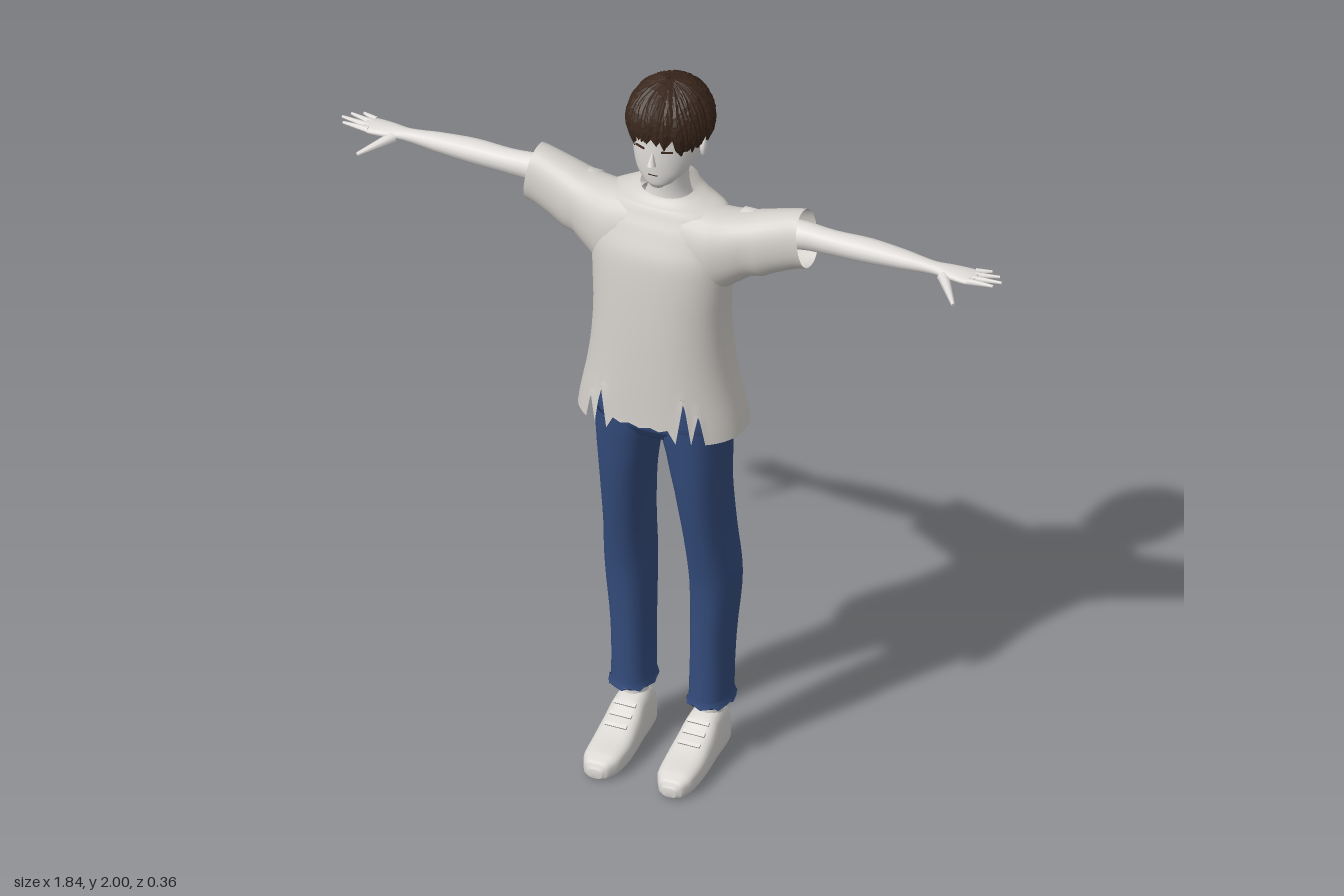
import * as THREE from 'three';
import { mergeGeometries } from 'three/addons/utils/BufferGeometryUtils.js';

const mat = (name, color, side = THREE.FrontSide) => {
  const m = new THREE.MeshStandardMaterial({ color, side });
  m.name = name;
  return m;
};

// Skin a list of rings (equal point counts); optionally close both ends.
function skin(rings, caps = false) {
  const n = rings[0].length, pos = [], idx = [];
  rings.forEach(r => r.forEach(p => pos.push(p.x, p.y, p.z)));
  for (let i = 0; i < rings.length - 1; i++) for (let j = 0; j < n; j++) {
    const a = i * n + j, b = i * n + (j + 1) % n;
    idx.push(a, b, b + n, a, b + n, a + n);
  }
  if (caps) [0, rings.length - 1].forEach((i, end) => {
    const c = new THREE.Vector3();
    rings[i].forEach(p => c.addScaledVector(p, 1 / n));
    const k = pos.length / 3;
    pos.push(c.x, c.y, c.z);
    for (let j = 0; j < n; j++) {
      const a = i * n + j, b = i * n + (j + 1) % n;
      if (end) idx.push(a, b, k); else idx.push(b, a, k);
    }
  });
  const g = new THREE.BufferGeometry();
  g.setAttribute('position', new THREE.Float32BufferAttribute(pos, 3));
  g.setIndex(idx);
  g.computeVertexNormals();
  return g;
}

// Smooth curve through b and c, with neighbours a and d
const spline = (a, b, c, d, t) => {
  const cubic = 3 * (b - c) + d - a, square = 2 * a - 5 * b + 4 * c - d;
  return b + 0.5 * t * (c - a + t * (square + t * cubic));
};

// Loft along an axis; each row is [station, u0, u1, v0, v1].
// Axis y: u = x, v = z.  Axis x: u = z, v = y.  Axis z: u = y, v = x.
function loft(axis, rows, { n = 24, power = 1, sub = 4, caps = false, tweak } = {}) {
  const fine = [], at = i => rows[Math.min(Math.max(i, 0), rows.length - 1)];
  for (let i = 0; i < rows.length - 1; i++) for (let k = 0; k < sub; k++) {
    const t = k / sub, [a, b, c, d] = [at(i - 1), at(i), at(i + 1), at(i + 2)];
    fine.push(b.map((v, q) => q === 0 ? v + (c[0] - v) * t : spline(a[q], v, c[q], d[q], t)));
  }
  fine.push(at(rows.length));
  const bend = v => Math.sign(v) * Math.abs(v) ** power;
  return skin(fine.map(([s, u0, u1, v0, v1]) => Array.from({ length: n }, (_, j) => {
    const t = j / n * Math.PI * 2;
    const u = (u0 + u1) / 2 + (u1 - u0) / 2 * bend(Math.cos(t));
    const v = (v0 + v1) / 2 - (v1 - v0) / 2 * bend(Math.sin(t));
    const p = axis === 'y' ? new THREE.Vector3(u, s, v)
      : axis === 'x' ? new THREE.Vector3(s, v, u) : new THREE.Vector3(v, u, s);
    if (tweak) tweak(p, j);
    return p;
  })), caps);
}

// Tapered rod between two points
function rod(a, b, r0, r1) {
  const p = new THREE.Vector3(...a), q = new THREE.Vector3(...b), d = q.clone().sub(p);
  const g = new THREE.CylinderGeometry(r1, r0, d.length(), 8);
  g.applyQuaternion(new THREE.Quaternion().setFromUnitVectors(new THREE.Vector3(0, 1, 0), d.normalize()));
  return g.translate(...p.add(q).multiplyScalar(0.5).toArray());
}

function mirrored(g) {
  const m = g.clone().scale(-1, 1, 1), ix = m.index.array;
  for (let i = 0; i < ix.length; i += 3) [ix[i], ix[i + 1]] = [ix[i + 1], ix[i]];
  m.computeVertexNormals();
  return m;
}

// Hair surface: phi runs around from the front, th down from the crown
const hairPoint = (phi, th, k) => new THREE.Vector3(
  0.107 * k * Math.sin(th) * Math.sin(phi), 1.885 + 0.113 * k * Math.cos(th),
  -0.053 + 0.121 * k * Math.sin(th) * Math.cos(phi));
function hairEnd(phi) {
  const a = Math.abs(Math.atan2(Math.sin(phi), Math.cos(phi)));
  const y = a < 0.65 ? 1.878 : a < 1.15 ? 1.84 : a < 1.75 ? 1.858 : 1.79;
  return Math.acos((y - 1.885) / 0.113);
}
function hairGeometry() {
  const parts = [], rings = [];
  let seed = 7;
  const rand = () => (seed = (seed * 16807) % 2147483647) / 2147483647;
  // scalp shell with a ragged edge
  for (let i = 0; i <= 10; i++) rings.push(Array.from({ length: 48 }, (_, j) => {
    const phi = -j / 48 * Math.PI * 2, end = hairEnd(phi) + (j % 2 ? 0.12 : -0.06);
    return hairPoint(phi, 0.01 + (end - 0.01) * i / 10, 0.98);
  }));
  parts.push(skin(rings));
  // overlapping pointed locks
  for (let i = 0; i < 110; i++) {
    const phi0 = i * 2.39996, twist = (rand() - 0.5) * 0.5, start = 0.05 + rand() * 0.8;
    const end = hairEnd(phi0 + twist) + 0.2 * rand() - (i % 3) * 0.2, w = 0.012 + rand() * 0.008;
    parts.push(skin(Array.from({ length: 7 }, (_, k) => {
      const t = k / 6, phi = phi0 + twist * t, taper = Math.sin(Math.PI * (0.12 + 0.86 * t)) ** 0.7;
      const c = hairPoint(phi, start + (end - start) * t, 0.985 + 0.025 * t);
      const s = new THREE.Vector3(Math.cos(phi), 0, -Math.sin(phi));
      const o = c.clone().sub(new THREE.Vector3(0, 1.885, -0.053)).normalize();
      return [[w, 0], [0, 0.007], [-w, 0], [0, -0.005]].map(([e, f]) =>
        c.clone().addScaledVector(s, e * taper).addScaledVector(o, f * taper));
    }), true));
  }
  const g = mergeGeometries(parts).toNonIndexed();
  g.computeVertexNormals();
  return g;
}

export function createModel() {
  const model = new THREE.Group();
  const skinMat = mat('pale skin', 0xdedbd8);
  const shirtMat = mat('off-white cotton', 0xd3cfca, THREE.DoubleSide);
  const denim = mat('blue denim', 0x344c7c, THREE.DoubleSide);
  const hairMat = mat('dark brown hair', 0x38261b, THREE.DoubleSide);
  const shoeMat = mat('white shoe', 0xd9d6d2);
  const add = (name, g, m) => {
    const mesh = new THREE.Mesh(g, m);
    mesh.name = name;
    model.add(mesh);
  };
  const pair = (name, g, m) => {
    add(name + 'Left', g, m);
    add(name + 'Right', mirrored(g), m);
  };

  // Head, neck and ears
  add('head', loft('y', [
    [1.728, -0.018, 0.018, 0.012, 0.042], [1.742, -0.04, 0.04, -0.015, 0.05],
    [1.77, -0.068, 0.068, -0.07, 0.054], [1.81, -0.084, 0.084, -0.115, 0.056],
    [1.86, -0.091, 0.091, -0.14, 0.055], [1.92, -0.088, 0.088, -0.14, 0.05],
    [1.965, -0.05, 0.05, -0.1, 0.0]], { n: 32, caps: true }), skinMat);
  add('neck', loft('y', [
    [1.62, -0.08, 0.08, -0.11, 0.02], [1.68, -0.056, 0.056, -0.1, 0.01],
    [1.73, -0.05, 0.05, -0.098, 0.012], [1.79, -0.053, 0.053, -0.1, 0.02]]), skinMat);
  add('nose', new THREE.ConeGeometry(0.012, 0.045, 8).scale(1, 1, 1.2)
    .rotateX(-0.2).translate(0, 1.825, 0.056), skinMat);
  pair('ear', new THREE.SphereGeometry(1, 12, 10).scale(0.01, 0.03, 0.018)
    .rotateY(0.3).translate(0.094, 1.825, -0.05), skinMat);

  // Thin face details
  pair('eyelash', new THREE.BoxGeometry(0.03, 0.004, 0.004)
    .rotateY(0.4).translate(0.038, 1.846, 0.049), hairMat);
  add('mouth', new THREE.BoxGeometry(0.026, 0.002, 0.004).translate(0, 1.772, 0.053), hairMat);
  add('hair', hairGeometry(), hairMat);

  // Shirt body: torn front hem, collar dipping towards the front
  add('shirtBody', loft('y', [
    [1.03, -0.225, 0.225, -0.165, 0.135], [1.2, -0.192, 0.192, -0.147, 0.13],
    [1.34, -0.18, 0.18, -0.135, 0.123], [1.46, -0.185, 0.185, -0.127, 0.113],
    [1.54, -0.19, 0.19, -0.125, 0.1], [1.61, -0.185, 0.185, -0.123, 0.068],
    [1.655, -0.16, 0.16, -0.12, 0.042], [1.675, -0.11, 0.11, -0.116, 0.026],
    [1.7, -0.075, 0.075, -0.11, 0.012]], {
    n: 64, power: 0.88,
    tweak: (p, j) => {
      const k = Math.abs(j - 48);
      const hem = k < 4 ? 1.06 + 0.008 * (k % 2) : k === 5 ? 1.16 : k === 7 ? 1.12 : 1.03;
      p.y = Math.max(p.y, hem);
      if (p.y > 1.66) p.y -= (p.z + 0.05) * 0.3 * (p.y - 1.66) / 0.04;
    }
  }), shirtMat);
  pair('sleeve', loft('x', [
    [0.07, -0.116, 0.07, 1.42, 1.672], [0.14, -0.118, 0.068, 1.42, 1.664],
    [0.19, -0.118, 0.052, 1.455, 1.662], [0.24, -0.116, 0.033, 1.49, 1.668],
    [0.31, -0.114, 0.016, 1.522, 1.684], [0.38, -0.112, 0.006, 1.545, 1.7]],
  { n: 32, power: 0.9, tweak: p => { if (p.x > 0.25) p.x -= (p.y - 1.62) * 0.15; } }), shirtMat);

  // Arms, palms and fingers
  pair('arm', loft('x', [
    [0.2, -0.1, 0, 1.57, 1.665], [0.37, -0.09, -0.015, 1.592, 1.668],
    [0.45, -0.087, -0.02, 1.597, 1.662], [0.55, -0.092, -0.02, 1.6, 1.662],
    [0.65, -0.085, -0.027, 1.606, 1.655], [0.73, -0.076, -0.035, 1.613, 1.646],
    [0.78, -0.09, -0.03, 1.612, 1.641], [0.83, -0.096, -0.026, 1.614, 1.637],
    [0.85, -0.092, -0.032, 1.618, 1.634]], { n: 16, caps: true }), skinMat);
  const fingers = [[-0.088, 0.875, -0.1], [-0.071, 0.903, -0.085], [-0.054, 0.918, -0.062], [-0.038, 0.905, -0.038]]
    .map(([z0, x, z1]) => rod([0.835, 1.626, z0], [x, 1.63, z1], 0.01, 0.004));
  const thumb = rod([0.765, 1.622, -0.04], [0.83, 1.6, 0.04], 0.016, 0.005);
  pair('fingers', mergeGeometries([...fingers, thumb]), skinMat);

  // Jeans
  add('jeansHips', loft('y', [
    [0.995, -0.155, 0.155, -0.105, 0.07], [1.03, -0.175, 0.175, -0.12, 0.092],
    [1.1, -0.165, 0.165, -0.12, 0.09], [1.16, -0.15, 0.15, -0.11, 0.08]],
  { n: 32, power: 0.85, caps: true }), denim);
  pair('jeansLeg', loft('y', [
    [0.165, 0.05, 0.167, -0.142, 0.007], [0.19, 0.056, 0.16, -0.136, 0.003],
    [0.35, 0.059, 0.163, -0.145, 0.003], [0.53, 0.058, 0.178, -0.155, 0.012],
    [0.68, 0.054, 0.17, -0.14, 0.04], [0.83, 0.04, 0.169, -0.122, 0.068],
    [0.95, 0.019, 0.174, -0.12, 0.083], [1.04, 0, 0.176, -0.12, 0.091]],
  { power: 0.85, tweak: (p, j) => { if (p.y < 0.17) p.y += (j % 3) * 0.006; } }), denim);

  // Ankles and shoes
  pair('ankle', loft('y', [
    [0.07, 0.065, 0.14, -0.11, -0.025], [0.14, 0.072, 0.138, -0.105, -0.03],
    [0.24, 0.072, 0.145, -0.115, -0.03]], { n: 16 }), skinMat);
  pair('shoe', loft('z', [
    [-0.125, 0.005, 0.08, 0.08, 0.125], [-0.115, 0, 0.12, 0.066, 0.14],
    [-0.07, 0, 0.143, 0.058, 0.147], [-0.02, 0, 0.135, 0.054, 0.151],
    [0.02, 0, 0.108, 0.05, 0.154], [0.08, 0, 0.078, 0.047, 0.156],
    [0.14, 0, 0.062, 0.053, 0.152], [0.17, 0, 0.047, 0.07, 0.138],
    [0.18, 0.006, 0.03, 0.085, 0.122]], { power: 0.65, caps: true }), shoeMat);
  const laces = [[0.126, 0], [0.108, 0.026], [0.093, 0.055]].map(([y, z]) =>
    new THREE.BoxGeometry(0.06, 0.006, 0.01).rotateX(0.6).translate(0.102, y, z));
  pair('laces', mergeGeometries(laces), shoeMat);
  return model;
}
